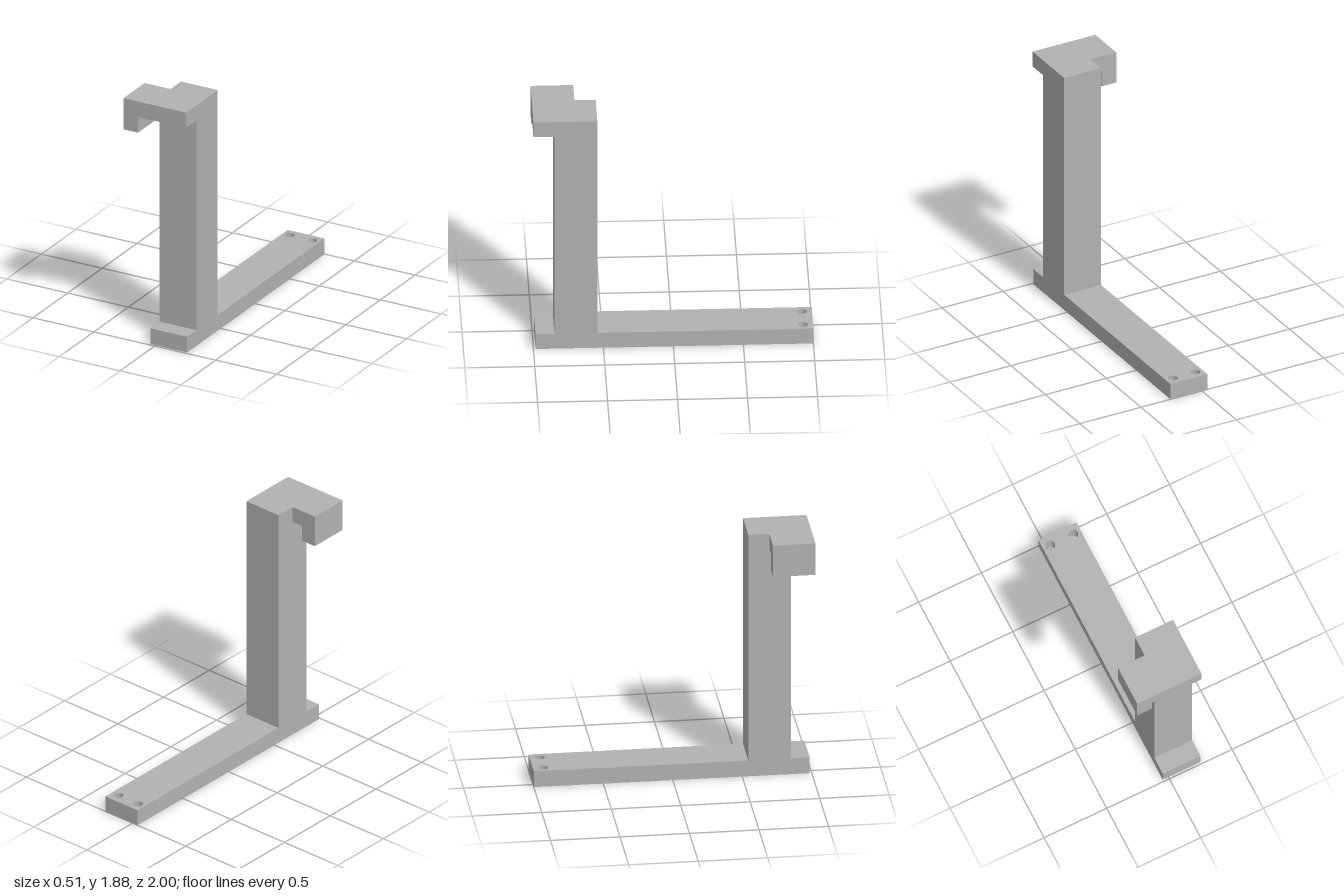
import * as THREE from 'three';

const grey = new THREE.MeshStandardMaterial({ color: 0xb2b2b2 });
grey.name = 'grey';

// Horizontal plate: plan outline of [x, z] points, round holes, from y0 to y1
function plate(name, outline, y0, y1, holes = [], radius = 0) {
  const shape = new THREE.Shape(outline.map(([x, z]) => new THREE.Vector2(x, -z)));
  for (const [x, z] of holes) {
    shape.holes.push(new THREE.Path().absarc(x, -z, radius, 0, Math.PI * 2, true));
  }
  const geometry = new THREE.ExtrudeGeometry(shape, { depth: y1 - y0, bevelEnabled: false, curveSegments: 16 });
  geometry.rotateX(-Math.PI / 2);
  geometry.translate(0, y0, 0);
  const mesh = new THREE.Mesh(geometry, grey);
  mesh.name = name;
  return mesh;
}

const rect = (x0, x1, z0, z1) => [[x0, z1], [x1, z1], [x1, z0], [x0, z0]];

export function createModel() {
  const group = new THREE.Group();
  group.name = 'hookBracket';

  const left = 0.257, right = -0.045, hookEnd = -0.257; // x limits
  const colBack = 0.543, colFront = 0.85, armBack = 0.695; // z limits
  const baseTop = 0.123, armBottom = 1.76, top = 1.881;

  // Long foot with two screw holes at the rear
  group.add(plate('base', rect(right, left, -1, 0.985), 0, baseTop,
    [[0.013, -0.927], [0.197, -0.927]], 0.035));

  // Upright post
  group.add(plate('column', rect(right, left, colBack, colFront), baseTop, armBottom));

  // L-shaped cap reaching out to the side and forward
  group.add(plate('hookArm', [
    [hookEnd, 1], [left, 1], [left, colBack], [right, colBack], [right, armBack], [hookEnd, armBack],
  ], armBottom, top));

  // Downturned lip at the end of the arm
  group.add(plate('hookLip', rect(hookEnd, -0.137, armBack, 1), 1.637, armBottom));

  return group;
}
